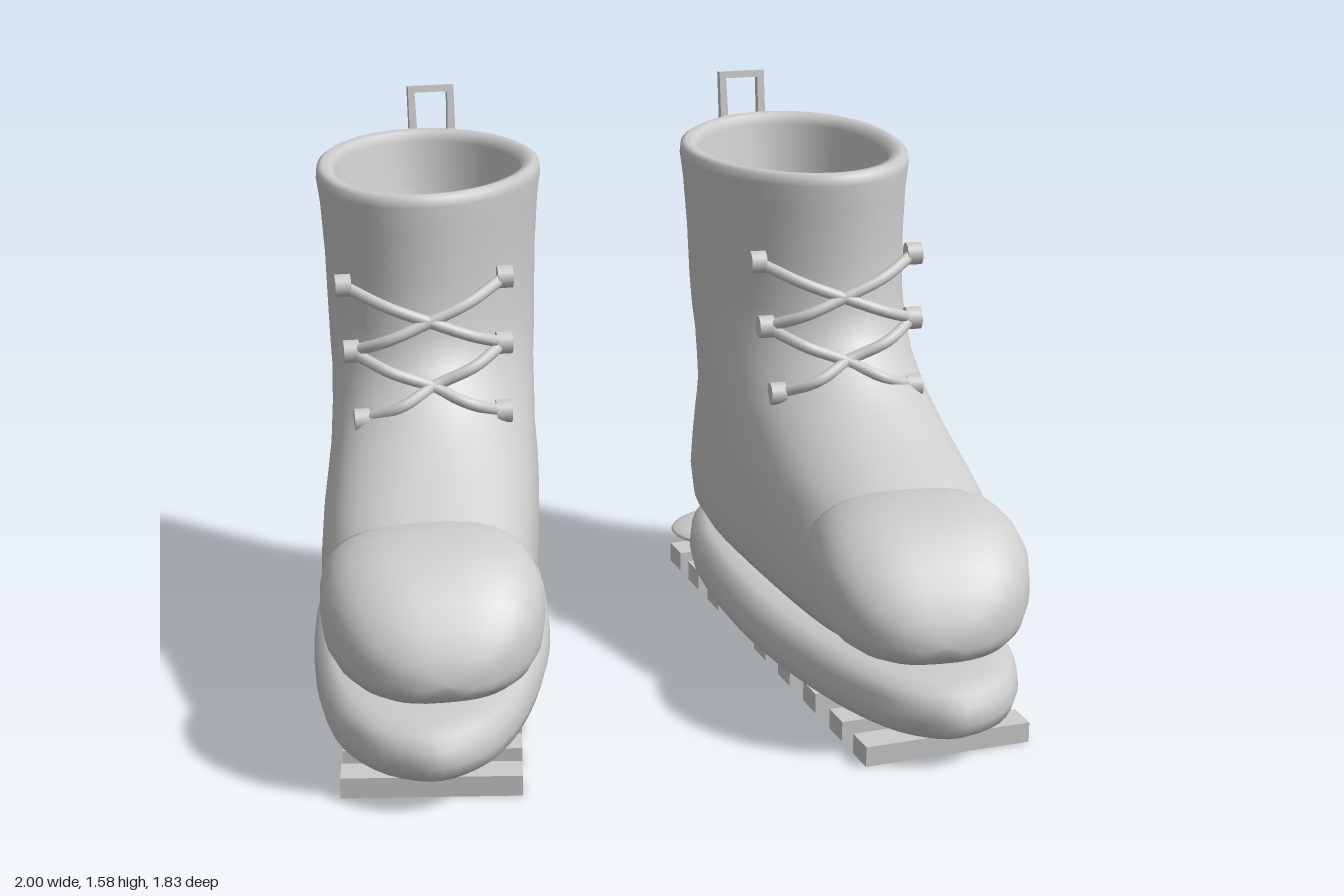
import * as THREE from 'three';

const grey = new THREE.MeshStandardMaterial({ color: 0xcccccc });
grey.name = 'plain grey';

const spow = (v, e) => Math.sign(v) * Math.pow(Math.abs(v), e);
const footLine = z => 0.545 + 0.145 * THREE.MathUtils.smoothstep(z, -0.6, 0.6);

// Skin a list of closed rings (each a list of [x, y, z]) with smooth normals
function loft(rings) {
  const n = rings[0].length, idx = [];
  for (let i = 0; i < rings.length - 1; i++) {
    for (let j = 0; j < n; j++) {
      const k = (j + 1) % n;
      const a = i * n + j, b = i * n + k, c = a + n, d = b + n;
      idx.push(a, b, d, a, d, c);
    }
  }
  const g = new THREE.BufferGeometry();
  g.setAttribute('position', new THREE.Float32BufferAttribute(rings.flat(2), 3));
  g.setIndex(idx);
  g.computeVertexNormals();
  return g;
}

const ring = (n, fn) => Array.from({ length: n }, (_, j) => fn(j / n * Math.PI * 2));

// Boot upper with rolled rim and lining: y, back z, front z, half width
function upperGeometry() {
  const keys = [
    [0.25, -0.05, -0.05, 0], [0.25, -0.66, 0.56, 0.2], [0.28, -0.78, 0.67, 0.27],
    [0.33, -0.815, 0.72, 0.3], [0.42, -0.815, 0.72, 0.312], [0.52, -0.802, 0.66, 0.312],
    [0.6, -0.795, 0.56, 0.31], [0.66, -0.792, 0.45, 0.305], [0.72, -0.79, 0.33, 0.3],
    [0.8, -0.79, 0.17, 0.3], [0.88, -0.79, 0.06, 0.3], [0.96, -0.795, -0.02, 0.305],
    [1.05, -0.802, -0.065, 0.308], [1.2, -0.82, -0.08, 0.312], [1.35, -0.84, -0.085, 0.322],
    [1.425, -0.848, -0.083, 0.332], [1.45, -0.845, -0.09, 0.329], [1.46, -0.83, -0.105, 0.314],
    [1.455, -0.805, -0.13, 0.288], [1.43, -0.79, -0.145, 0.273],
    [1.3, -0.77, -0.165, 0.258], [1.15, -0.72, -0.21, 0.222], [1.03, -0.64, -0.29, 0.16],
    [0.97, -0.56, -0.37, 0.085], [0.95, -0.465, -0.465, 0],
  ];
  return loft(keys.map(([y, zb, zf, hw]) => {
    const e = THREE.MathUtils.lerp(0.62, 1, THREE.MathUtils.smoothstep(y, 0.4, 0.95));
    return ring(56, t => {
      const z = (zb + zf) / 2 + (zf - zb) / 2 * spow(Math.cos(t), e);
      return [footLine(z) + hw * spow(Math.sin(t), e), y, z];
    });
  }));
}

// Bulbous toe cap: z, bottom y, top y, half width
function toeCapGeometry() {
  const keys = [
    [0.42, 0.34, 0.62, 0.26], [0.37, 0.315, 0.655, 0.288], [0.43, 0.295, 0.672, 0.3],
    [0.52, 0.28, 0.677, 0.307], [0.61, 0.272, 0.662, 0.307], [0.69, 0.274, 0.62, 0.288],
    [0.76, 0.282, 0.565, 0.252], [0.81, 0.295, 0.51, 0.205], [0.85, 0.315, 0.445, 0.135],
    [0.866, 0.335, 0.4, 0.07], [0.87, 0.365, 0.365, 0],
  ];
  return loft(keys.map(([z, y0, y1, hw]) => ring(40, t => [
    0.692 + hw * spow(Math.cos(t), 0.75),
    (y0 + y1) / 2 + (y1 - y0) / 2 * spow(Math.sin(t), 0.78),
    // back edge slants forward towards the bottom
    z + (z < 0.45 ? 0.025 * (1 - Math.sin(t)) : 0),
  ])));
}

// Pillow-edged sole from a footprint outline
function soleGeometry() {
  const outline = [
    [0.5, -0.88], [0.7, -0.81], [0.82, -0.62], [0.9, -0.38], [0.96, -0.1], [0.99, 0.2],
    [0.995, 0.45], [0.96, 0.68], [0.87, 0.84], [0.73, 0.91], [0.6, 0.85], [0.5, 0.72],
    [0.4, 0.5], [0.31, 0.2], [0.27, -0.05], [0.25, -0.3], [0.26, -0.55], [0.34, -0.78],
  ].reverse().map(([x, z]) => new THREE.Vector3(x, 0, z));
  const pts = new THREE.CatmullRomCurve3(outline, true).getPoints(64).slice(0, 64);
  const levels = [
    [0.07, 0], [0.07, 0.78], [0.08, 0.9], [0.105, 0.97], [0.145, 1],
    [0.19, 0.985], [0.22, 0.94], [0.238, 0.85], [0.245, 0.7], [0.25, 0],
  ];
  return loft(levels.map(([y, s]) => pts.map(p => {
    const cx = footLine(p.z * 0.9);
    return [cx + (p.x - cx) * s, y, p.z * (0.35 * s + 0.65 * (s > 0 ? Math.sqrt(s) : 0))];
  })));
}

function buildBoot() {
  const parts = [];
  const add = (name, geometry) => parts.push({ name, geometry });

  add('upper', upperGeometry());
  add('toeCap', toeCapGeometry());
  add('sole', soleGeometry());

  // Thin lens-shaped heel plate poking out of the sole
  const plate = new THREE.SphereGeometry(1, 32, 16);
  plate.scale(0.285, 0.032, 0.185);
  plate.translate(0.515, 0.142, -0.69);
  add('heelPlate', plate);

  // Slanted tread bars
  [0.73, 0.555, 0.355, 0.155, -0.04, -0.44, -0.615, -0.78].forEach(z => {
    const bar = new THREE.BoxGeometry(0.5, 0.06, 0.095);
    bar.rotateY(0.15);
    bar.translate(0.5 + 0.225 * (z + 0.78) / 1.51, 0.03, z);
    add('treadBar', bar);
  });

  // Pull tab: upside-down U
  const u = new THREE.Shape([
    [-0.07, -0.1], [-0.045, -0.1], [-0.05, 0.08], [0.05, 0.08],
    [0.045, -0.1], [0.07, -0.1], [0.07, 0.1], [-0.07, 0.1],
  ].map(([x, y]) => new THREE.Vector2(x, y)));
  const tab = new THREE.ExtrudeGeometry(u, { depth: 0.036, bevelEnabled: false });
  tab.translate(0, 0, -0.018);
  tab.rotateX(-0.2);
  tab.translate(0.485, 1.475, -0.885);
  add('pullTab', tab);

  // Lace knobs and crossing laces, mirrored about the boot's middle
  const mid = 0.61;
  const knobs = [[0.235, 1.19, -0.145], [0.222, 1.01, -0.085], [0.205, 0.832, 0.005]];
  const laces = [
    [knobs[0], [0.12, 1.145, -0.06], [0, 1.1, -0.035], [-0.12, 1.055, -0.025], [-0.222, 1.01, -0.085]],
    [knobs[1], [0.12, 0.968, 0], [0.01, 0.925, 0.01], [-0.1, 0.878, 0.055], [-0.205, 0.832, 0.005]],
  ];
  for (const s of [1, -1]) {
    for (const [x, y, z] of knobs) {
      const knob = new THREE.CylinderGeometry(0.033, 0.033, 0.045, 20);
      knob.rotateZ(Math.PI / 2);
      knob.translate(mid + s * x, y, z);
      add('laceKnob', knob);
    }
    for (const path of laces) {
      const curve = new THREE.CatmullRomCurve3(
        path.map(([x, y, z]) => new THREE.Vector3(mid + s * x, y, z)));
      add('lace', new THREE.TubeGeometry(curve, 24, 0.017, 10));
    }
  }
  return parts;
}

// Mirror a geometry across x = 0, keeping faces outward
function mirrored(geometry) {
  const g = geometry.clone();
  const p = g.attributes.position, n = g.attributes.normal;
  for (let i = 0; i < p.count; i++) {
    p.setX(i, -p.getX(i));
    n.setX(i, -n.getX(i));
  }
  const count = g.index ? g.index.count : p.count;
  const flipped = [];
  for (let i = 0; i < count; i += 3) {
    for (const k of [0, 2, 1]) flipped.push(g.index ? g.index.getX(i + k) : i + k);
  }
  g.setIndex(flipped);
  return g;
}

export function createModel() {
  const model = new THREE.Group();
  model.name = 'pairOfBoots';
  const left = new THREE.Group(), right = new THREE.Group();
  left.name = 'leftBoot';
  right.name = 'rightBoot';
  for (const { name, geometry } of buildBoot()) {
    for (const [group, g] of [[left, geometry], [right, mirrored(geometry)]]) {
      const mesh = new THREE.Mesh(g, grey);
      mesh.name = name;
      group.add(mesh);
    }
  }
  model.add(left, right);
  return model;
}
